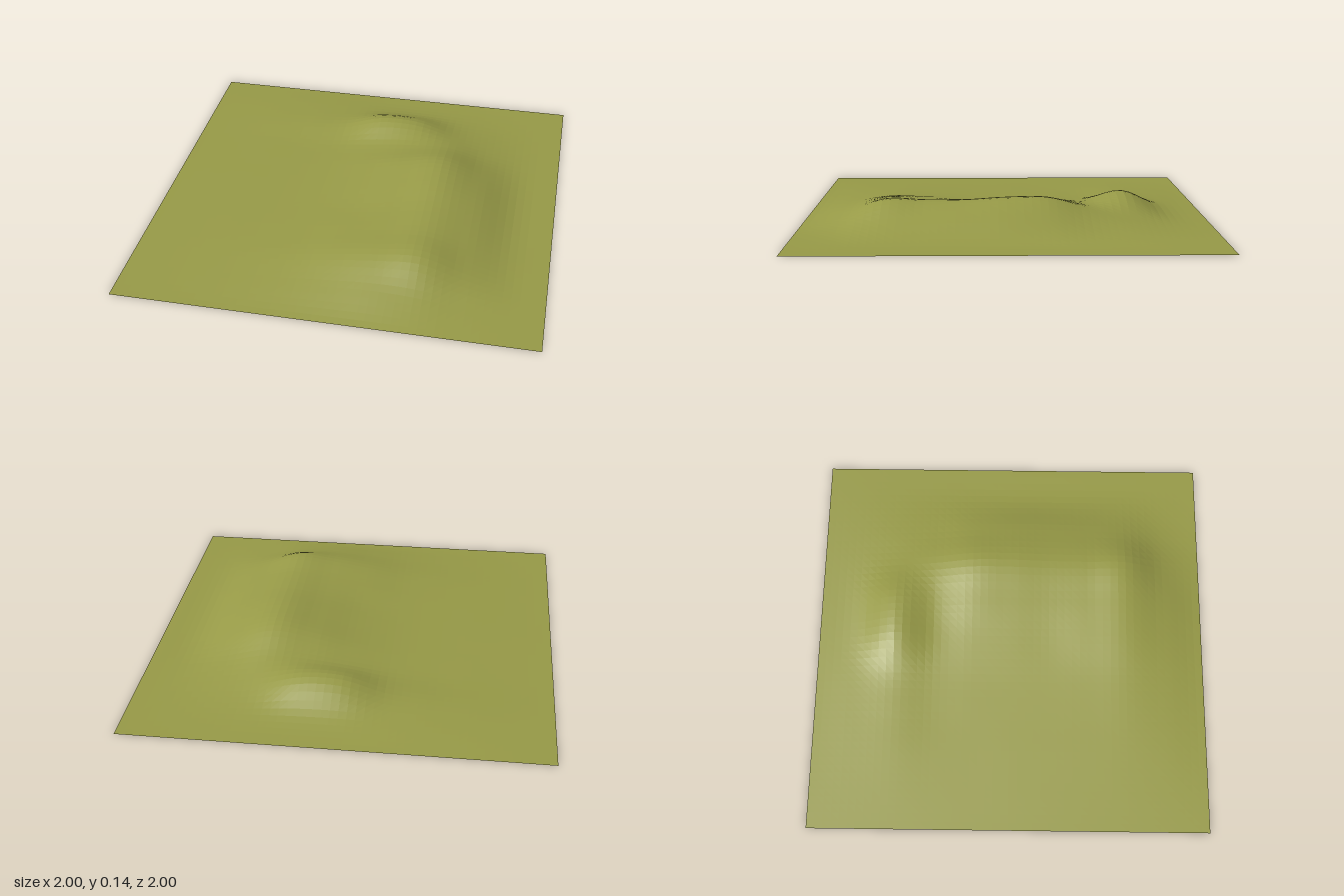
import * as THREE from 'three';

// Hill heights in thousandths, every 0.2 units: rows run back to front, columns left to right.
// The outermost border of the sheet is flat.
const HEIGHTS = [
  [3, 8, 13, 18, 24, 22, 14, 7, 2],
  [5, 14, 25, 46, 105, 104, 50, 22, 4],
  [4, 10, 16, 30, 57, 78, 84, 40, 6],
  [4, 10, 18, 32, 62, 106, 136, 72, 8],
  [5, 12, 20, 34, 62, 104, 139, 86, 10],
  [5, 13, 22, 36, 60, 96, 126, 82, 10],
  [5, 14, 25, 42, 72, 100, 121, 72, 10],
  [5, 14, 27, 46, 78, 106, 122, 56, 8],
  [3, 9, 16, 26, 40, 50, 42, 16, 3],
];

const knot = (row, col) => (HEIGHTS[row - 1]?.[col - 1] ?? 0) / 1000;

// Smooth cubic blend through four neighbouring values
function cubic(a, b, c, d, t) {
  return b + 0.5 * t * (c - a + t * (2 * a - 5 * b + 4 * c - d + t * (3 * (b - c) + d - a)));
}

function heightAt(x, z) {
  const u = (x + 1) * 5, v = (z + 1) * 5;
  const col = Math.min(9, Math.floor(u)), row = Math.min(9, Math.floor(v));
  const across = [-1, 0, 1, 2].map((r) =>
    cubic(...[-1, 0, 1, 2].map((c) => knot(row + r, col + c)), u - col));
  return Math.max(0, cubic(...across, v - row));
}

export function createModel() {
  const group = new THREE.Group();
  group.name = 'terrain';

  const grass = new THREE.MeshStandardMaterial({ color: 0x979a47, side: THREE.DoubleSide, flatShading: true });
  grass.name = 'olive grass';

  // Square sheet raised into a curved ridge of three hills
  const geometry = new THREE.PlaneGeometry(2, 2, 50, 50).rotateX(-Math.PI / 2);
  const position = geometry.attributes.position;
  for (let i = 0; i < position.count; i++) {
    const x = position.getX(i), z = position.getZ(i);
    const onEdge = Math.max(Math.abs(x), Math.abs(z)) > 0.999;
    position.setY(i, onEdge ? 0 : heightAt(x, z));
  }
  geometry.computeVertexNormals();

  const ground = new THREE.Mesh(geometry, grass);
  ground.name = 'hillyGround';
  group.add(ground);
  return group;
}
